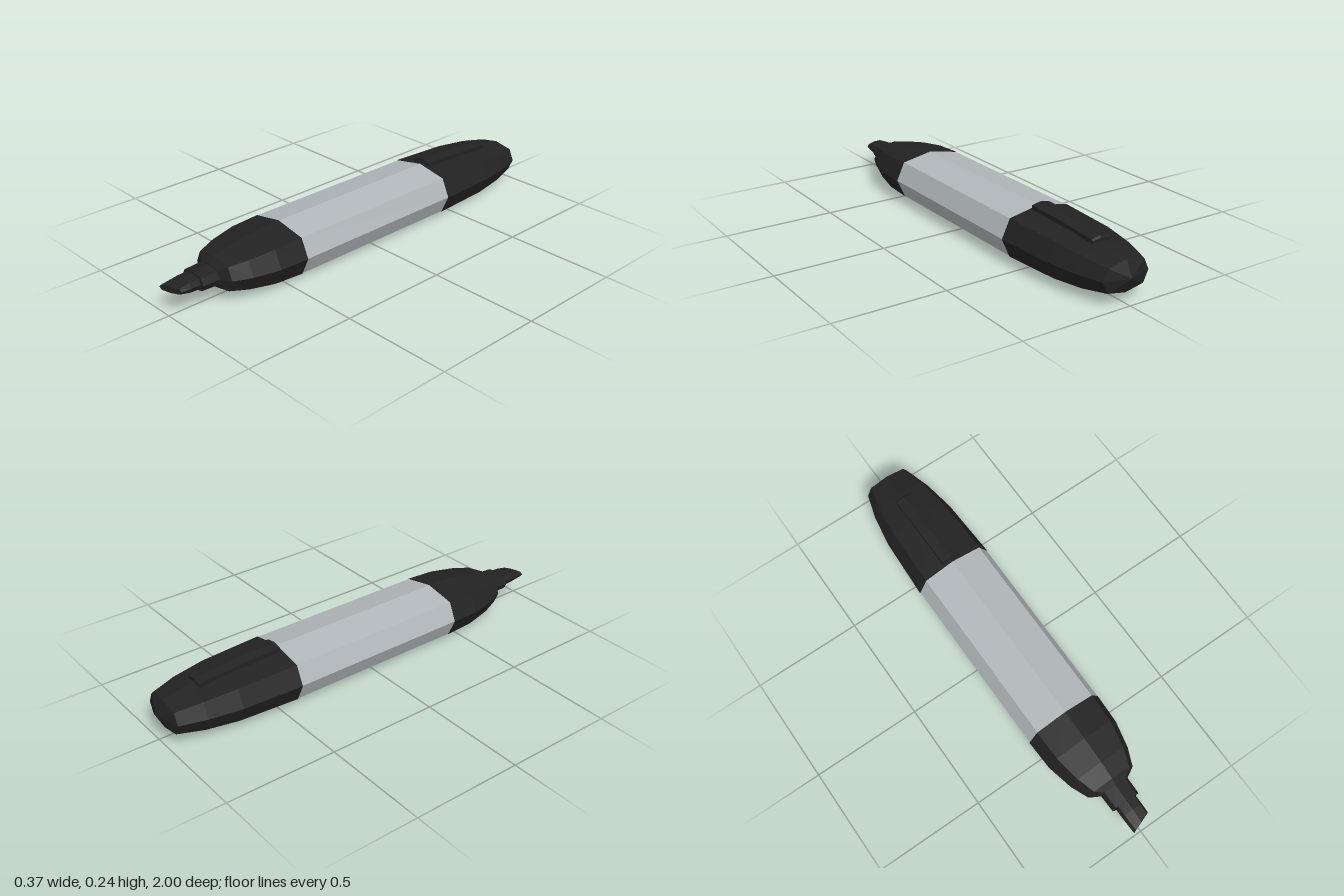
import * as THREE from 'three';

const CY = 0.114; // height of the long axis
// octagonal cross-section, counter-clockwise seen from the front
const OCT = [[1, 0], [0.79, 0.75], [0, 1], [-0.79, 0.75], [-1, 0], [-0.79, -0.75], [0, -1], [0.79, -0.75]];
// clip cross-section, slightly roofed on top
const ROOF = [[1, -1], [1, 0.5], [0, 1], [-1, 0.5], [-1, -1]];

const black = new THREE.MeshStandardMaterial({ color: 0x222222, flatShading: true });
const grey = new THREE.MeshStandardMaterial({ color: 0xb0b6b9, flatShading: true });

// Skins rings [z, halfWidth, halfHeight, centreY, skew] listed from back to front and closes both ends.
function loft(name, section, rings, material) {
  const pts = [], index = [], n = section.length;
  for (const [z, w, h, cy = CY, skew = 0] of rings) {
    for (const [x, y] of section) pts.push(x * w, cy + y * h, z - x * skew);
  }
  for (let i = 0; i < rings.length - 1; i++) {
    for (let j = 0; j < n; j++) {
      const a = i * n + j, b = i * n + (j + 1) % n;
      index.push(a, b, b + n, a, b + n, a + n);
    }
  }
  const last = (rings.length - 1) * n;
  for (let j = 1; j < n - 1; j++) {
    index.push(0, j + 1, j, last, last + j, last + j + 1);
  }
  const geometry = new THREE.BufferGeometry();
  geometry.setAttribute('position', new THREE.Float32BufferAttribute(pts, 3));
  geometry.setIndex(index);
  const flat = geometry.toNonIndexed();
  flat.computeVertexNormals();
  const mesh = new THREE.Mesh(flat, material);
  mesh.name = name;
  return mesh;
}

export function createModel() {
  const model = new THREE.Group();
  model.name = 'markerPen';

  // plain barrel
  model.add(loft('barrel', OCT, [[-0.425, 0.181, 0.11], [0.435, 0.181, 0.11]], grey));

  // rounded rear cap ending in a blunt point
  model.add(loft('rearCap', OCT, [
    [-1, 0.004, 0.004],
    [-0.968, 0.112, 0.068],
    [-0.85, 0.147, 0.089],
    [-0.7, 0.171, 0.103],
    [-0.42, 0.184, 0.112],
  ], black));

  // tapering front grip
  model.add(loft('frontGrip', OCT, [
    [0.432, 0.183, 0.111],
    [0.57, 0.178, 0.104],
    [0.69, 0.151, 0.088],
    [0.77, 0.117, 0.072],
    [0.797, 0.068, 0.044],
  ], black));

  // collar that holds the nib
  model.add(loft('nibCollar', OCT, [[0.78, 0.07, 0.042], [0.875, 0.068, 0.037]], black));

  // chisel nib with a slanted tip
  model.add(loft('nib', OCT, [
    [0.87, 0.052, 0.032],
    [0.92, 0.052, 0.029],
    [0.982, 0.05, 0.016, CY, 0.018],
  ], black));

  // pocket clip on the rear cap
  model.add(loft('clip', ROOF, [
    [-0.82, 0.043, 0.015, 0.204],
    [-0.812, 0.043, 0.016, 0.21],
    [-0.6, 0.043, 0.016, 0.224],
    [-0.432, 0.043, 0.016, 0.229],
  ], black));

  return model;
}
